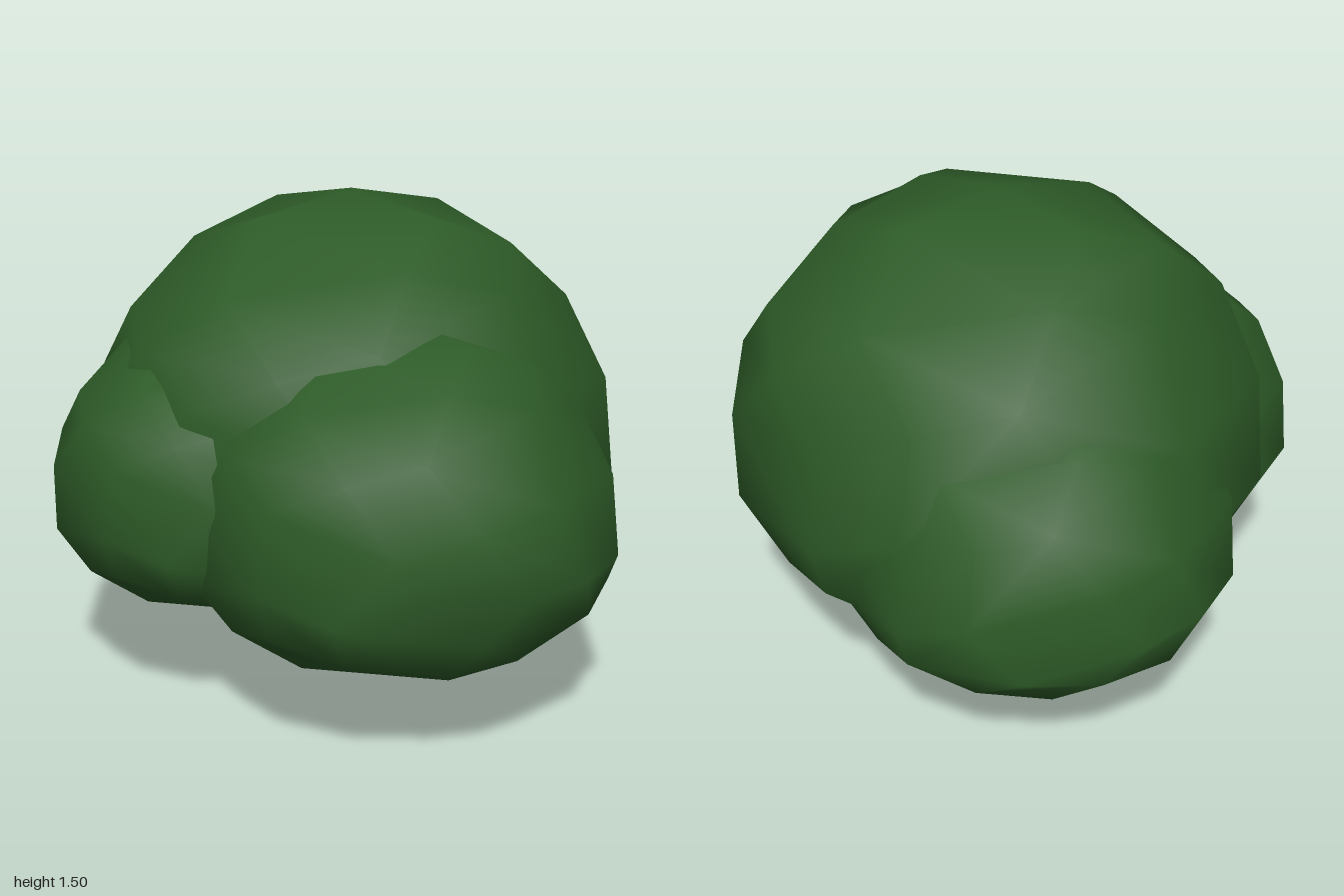
import * as THREE from 'three';
import { mergeVertices } from 'three/addons/utils/BufferGeometryUtils.js';

// Low-poly leaf clump: a ball whose lower half is flattened
function clumpGeometry(radius, flatten = 0.6) {
  let g = new THREE.DodecahedronGeometry(radius, 1);
  g.deleteAttribute('uv');
  g.deleteAttribute('normal');
  g = mergeVertices(g, 1e-4);
  const p = g.attributes.position;
  for (let i = 0; i < p.count; i++) {
    if (p.getY(i) < 0) p.setY(i, p.getY(i) * flatten);
  }
  g.computeVertexNormals();
  return g;
}

export function createModel() {
  const tree = new THREE.Group();
  tree.name = 'tree';

  const leafGreen = new THREE.MeshStandardMaterial({ color: 0x2d5a27 });
  leafGreen.name = 'leafGreen';
  const barkBrown = new THREE.MeshStandardMaterial({ color: 0x402a20 });
  barkBrown.name = 'barkBrown';

  // Tapered trunk, its top hidden in the leaves
  const height = 0.6;
  const trunk = new THREE.Mesh(new THREE.CylinderGeometry(0.06, 0.09, height, 8), barkBrown);
  trunk.name = 'trunk';
  trunk.position.set(-0.06, height / 2, -0.06);
  tree.add(trunk);

  // Overlapping leaf clumps: name, radius, centre
  const clumps = [
    ['mainCrown', 0.84, [-0.06, 0.66, -0.06]],
    ['leftClump', 0.655, [0.34, 0.55, 0.215]],
    ['frontClump', 0.58, [-0.22, 0.59, 0.31]],
    ['backRightClump', 0.61, [-0.39, 0.53, -0.29]],
  ];
  for (const [name, radius, centre] of clumps) {
    const clump = new THREE.Mesh(clumpGeometry(radius), leafGreen);
    clump.name = name;
    clump.position.set(...centre);
    tree.add(clump);
  }
  return tree;
}
